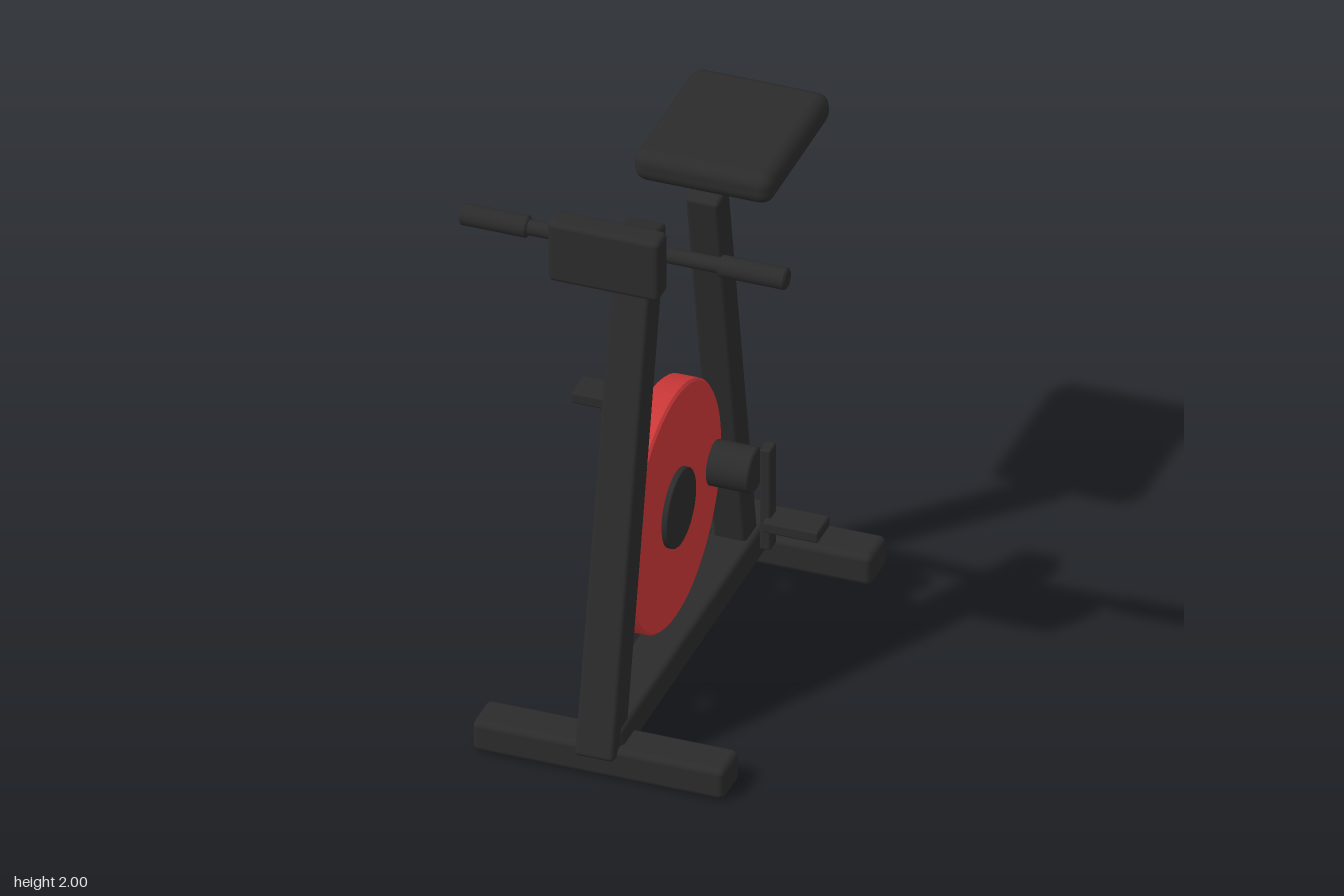
import * as THREE from 'three';
import { RoundedBoxGeometry } from 'three/addons/geometries/RoundedBoxGeometry.js';

const dark = new THREE.MeshStandardMaterial({ color: 0x2b2b2b });
dark.name = 'charcoal';
const red = new THREE.MeshStandardMaterial({ color: 0xcc3838 });
red.name = 'flywheel red';

export function createModel() {
  const model = new THREE.Group();
  model.name = 'exerciseBike';

  const add = (name, geometry, material, x, y, z) => {
    const mesh = new THREE.Mesh(geometry, material);
    mesh.name = name;
    mesh.position.set(x, y, z);
    model.add(mesh);
    return mesh;
  };

  // Softened box
  const box = (name, w, h, d, r, x, y, z) =>
    add(name, new RoundedBoxGeometry(w, h, d, 3, r), dark, x, y, z);

  // Softened square tube between two centre points in the x = 0 plane
  const post = (name, w, d, y0, z0, y1, z1) => {
    const length = Math.hypot(y1 - y0, z1 - z0);
    const mesh = box(name, w, length, d, 0.014, 0, (y0 + y1) / 2, (z0 + z1) / 2);
    mesh.rotation.x = Math.atan2(z1 - z0, y1 - y0);
    return mesh;
  };

  // Disc or rod along x with a small chamfer on its rims
  const rod = (name, material, radius, length, bevel, x, y, z, sides = 48) => {
    const h = length / 2;
    const corners = [[0, -h], [radius - bevel, -h], [radius, -h + bevel],
      [radius, h - bevel], [radius - bevel, h], [0, h]];
    // Corners are doubled so each band keeps a sharp edge
    const profile = corners.flatMap(([r, y]) => [new THREE.Vector2(r, y), new THREE.Vector2(r, y)]).slice(1, -1);
    const geometry = new THREE.LatheGeometry(profile, sides);
    // Recompute normals per band: radial share follows the band slope
    const normal = geometry.attributes.normal, n = profile.length;
    for (let i = 0; i <= sides; i++) {
      const a = (i / sides) * Math.PI * 2;
      for (let j = 0; j < n; j++) {
        const k = j - (j % 2);
        const dr = profile[k + 1].x - profile[k].x, dy = profile[k + 1].y - profile[k].y;
        const l = Math.hypot(dr, dy);
        normal.setXYZ(i * n + j, (Math.sin(a) * dy) / l, -dr / l, (Math.cos(a) * dy) / l);
      }
    }
    geometry.rotateZ(-Math.PI / 2);
    return add(name, geometry, material, x, y, z);
  };

  // Base: two cross feet joined by a spine
  box('frontFoot', 0.845, 0.112, 0.148, 0.022, 0, 0.056, 0.652);
  box('rearFoot', 0.845, 0.112, 0.148, 0.022, 0, 0.056, -0.673);
  box('baseSpine', 0.148, 0.112, 1.41, 0.018, 0, 0.12, -0.01);

  // Leaning posts
  post('frontPost', 0.13, 0.125, 0.075, 0.703, 1.825, 0.334);
  post('seatPost', 0.11, 0.107, 0.09, -0.528, 1.593, -0.26);

  // Saddle and display
  box('seat', 0.467, 0.11, 0.564, 0.045, 0, 1.665, -0.482);
  box('display', 0.373, 0.218, 0.09, 0.018, 0, 1.891, 0.635);

  // Handlebar
  rod('handlebar', dark, 0.026, 0.7, 0.004, 0, 1.834, 0.48, 24);
  for (const s of [1, -1]) {
    rod(s > 0 ? 'leftGrip' : 'rightGrip', dark, 0.036, 0.226, 0.006, s * 0.433, 1.834, 0.48, 24);
  }

  // Flywheel and its hub
  rod('flywheel', red, 0.413, 0.092, 0.008, 0, 0.666, 0.142, 64);
  rod('flywheelHub', dark, 0.132, 0.13, 0.003, 0, 0.666, 0.142);

  // Crank housing, cranks and pedals: left side down, right side up
  rod('crankHousing', dark, 0.075, 0.374, 0.005, 0, 0.627, -0.2);
  for (const s of [1, -1]) {
    const side = s > 0 ? 'left' : 'right';
    box(side + 'Crank', 0.038, 0.374, 0.057, 0.008, s * 0.226, 0.627 - s * 0.085, -0.2);
    box(side + 'Pedal', 0.187, 0.041, 0.111, 0.008, s * 0.32, 0.627 - s * 0.17, -0.2);
  }

  return model;
}
